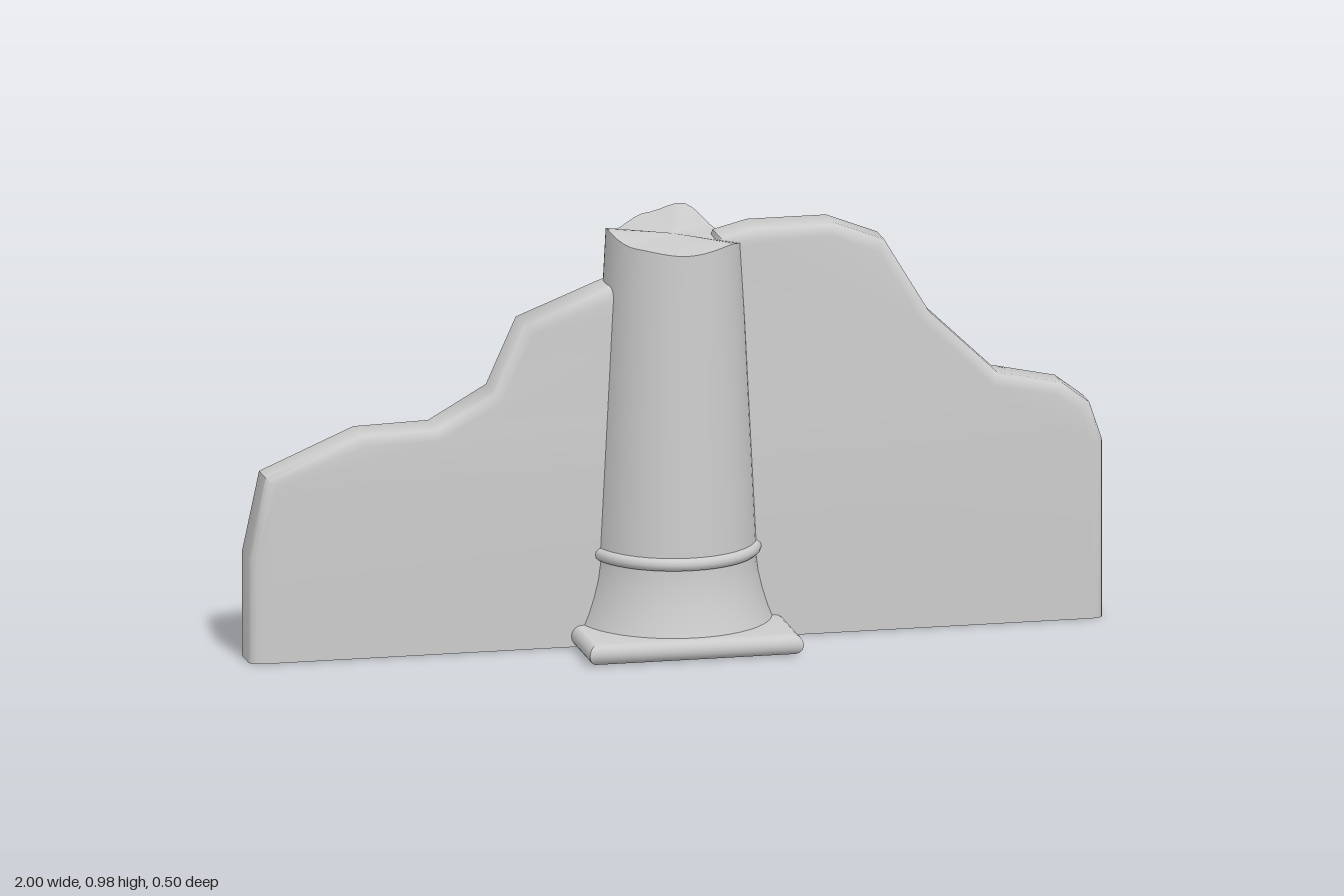
import * as THREE from 'three';
import { toCreasedNormals } from 'three/addons/utils/BufferGeometryUtils.js';

const material = new THREE.MeshStandardMaterial({ color: 0xcccccc, side: THREE.DoubleSide });
const points = (list) => list.map(([x, y]) => new THREE.Vector2(x, y));

function addMesh(group, name, geometry, crease) {
  const mesh = new THREE.Mesh(crease ? toCreasedNormals(geometry, crease) : geometry, material);
  mesh.name = name;
  group.add(mesh);
  return mesh;
}

// Height of the broken rim by angle, in degrees from +x towards +z
const RIM = [[0, 0.925], [45, 0.945], [90, 0.935], [135, 0.947], [180, 0.97], [225, 0.94],
  [260, 0.965], [290, 0.985], [325, 0.93], [360, 0.925]];
function rimHeight(x, z) {
  const a = (THREE.MathUtils.radToDeg(Math.atan2(z, x)) + 360) % 360;
  const i = Math.max(1, RIM.findIndex(([angle]) => angle >= a));
  const [a0, h0] = RIM[i - 1], [a1, h1] = RIM[i];
  return THREE.MathUtils.lerp(h0, h1, THREE.MathUtils.smoothstep(a, a0, a1));
}

// Ruined wall: rounded along the top and ends, flat underneath
function wallGeometry() {
  const outline = points([
    [-1, 0], [0.995, 0], [0.995, 0.42], [0.965, 0.51], [0.9, 0.56], [0.75, 0.592],
    [0.59, 0.745], [0.485, 0.92], [0.365, 0.967], [0.18, 0.967], [0.1, 0.947], [0.07, 0.85],
    [-0.16, 0.845], [-0.36, 0.767], [-0.43, 0.612], [-0.565, 0.535], [-0.74, 0.53],
    [-0.96, 0.437], [-1, 0.25],
  ]);
  const geometry = new THREE.ExtrudeGeometry(new THREE.Shape(outline), {
    depth: 0.07, bevelEnabled: true, bevelThickness: 0.02, bevelSize: 0.028,
    bevelOffset: -0.028, bevelSegments: 3,
  });
  geometry.translate(0, 0, -0.035);
  const p = geometry.attributes.position;
  for (let i = 0; i < p.count; i++) if (p.getY(i) < 0.05) p.setY(i, 0.005);
  return geometry;
}

// Flared column whose last row of points follows the broken rim
function columnGeometry() {
  const geometry = new THREE.LatheGeometry(points([
    [0.228, 0.05], [0.216, 0.08], [0.204, 0.12], [0.195, 0.16], [0.19, 0.2], [0.19, 0.235],
    [0.177, 0.5], [0.165, 0.75], [0.154, 0.95],
  ]), 48);
  const p = geometry.attributes.position;
  for (let i = 0; i < p.count; i++) {
    if (p.getY(i) > 0.9) p.setY(i, rimHeight(p.getX(i), p.getZ(i)));
  }
  return geometry;
}

// Uneven broken surface closing the column
function breakGeometry() {
  const geometry = new THREE.CircleGeometry(0.154, 48);
  geometry.rotateX(-Math.PI / 2);
  const p = geometry.attributes.position;
  p.setY(0, 0.952);
  for (let i = 1; i < p.count; i++) p.setY(i, rimHeight(p.getX(i), p.getZ(i)));
  return geometry;
}

// Square plinth with a rounded edge, hollow underneath
function plinthGeometry() {
  const profile = [[0.205, 0.03], [0.205, 0.005]];
  for (let i = 0; i <= 8; i++) {
    const a = -Math.PI / 2 + (i / 8) * Math.PI;
    profile.push([0.226 + 0.024 * Math.cos(a), 0.03 + 0.025 * Math.sin(a)]);
  }
  profile.push([0.158, 0.055]);
  return new THREE.LatheGeometry(
    points(profile.map(([r, y]) => [r * Math.SQRT2, y])), 4, Math.PI / 4);
}

export function createModel() {
  const group = new THREE.Group();
  group.name = 'brokenColumnMonument';

  addMesh(group, 'wall', wallGeometry(), 0.9);
  addMesh(group, 'columnShaft', columnGeometry());
  addMesh(group, 'brokenTop', breakGeometry(), 0.5);
  addMesh(group, 'plinth', plinthGeometry(), 0.8);

  const ring = new THREE.TorusGeometry(0.186, 0.016, 12, 48);
  ring.rotateX(Math.PI / 2);
  addMesh(group, 'ringMoulding', ring).position.y = 0.219;

  return group;
}
